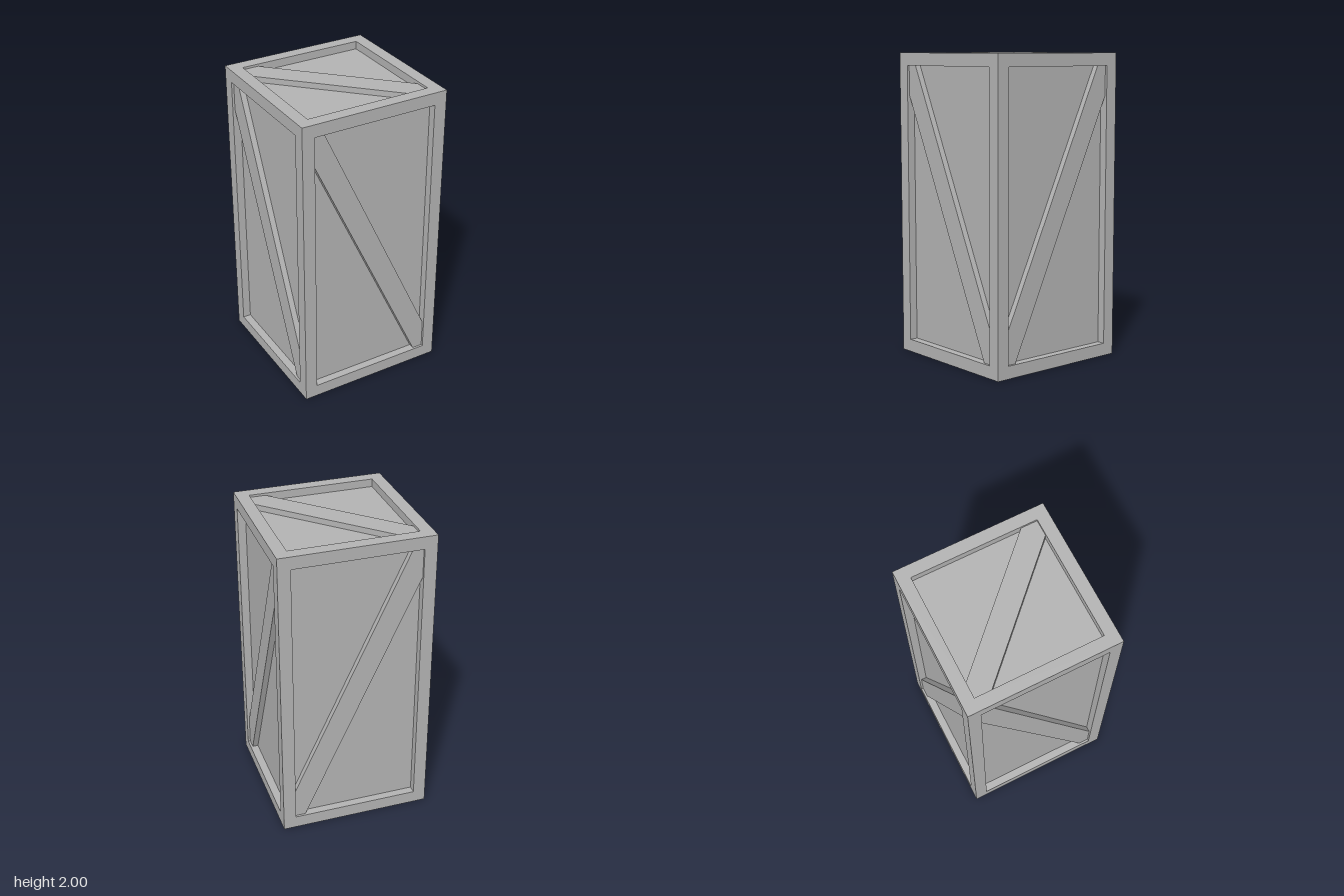
import * as THREE from 'three';

const W = 1, H = 2;       // outer width and height
const BEAM = 0.083;       // square frame beam
const PANEL_INSET = 0.053;
const BRACE_INSET = 0.015;

export function createModel() {
  const crate = new THREE.Group();
  crate.name = 'crate';
  const grey = new THREE.MeshStandardMaterial({ color: 0xb2b2b2 });
  grey.name = 'grey';

  const box = (name, size, pos) => {
    const mesh = new THREE.Mesh(new THREE.BoxGeometry(...size), grey);
    mesh.name = name;
    mesh.position.set(...pos);
    crate.add(mesh);
  };

  // Recessed panels, as one inner core
  const core = W - 2 * PANEL_INSET;
  box('panels', [core, H - 2 * PANEL_INSET, core], [0, H / 2, 0]);

  // Frame: four posts and eight rails
  const edge = (W - BEAM) / 2, rail = W - 2 * BEAM;
  for (const a of [-1, 1]) {
    for (const b of [-1, 1]) {
      box('post', [BEAM, H, BEAM], [a * edge, H / 2, b * edge]);
      const y = H / 2 + b * (H - BEAM) / 2;
      box('railAcross', [rail, BEAM, BEAM], [0, y, a * edge]);
      box('railDeep', [BEAM, BEAM, rail], [a * edge, y, 0]);
    }
  }

  // Diagonal braces on opposite faces, with ends that fill the frame corners
  const bracePair = (name, h, a, b, half) => {
    const w = W / 2 - BEAM;
    const outline = [[-w, h], [-w, b], [a, -h], [w, -h], [w, -b], [-a, h]];
    const shape = new THREE.Shape(outline.map(([x, y]) => new THREE.Vector2(x, y)));
    const depth = PANEL_INSET - BRACE_INSET + 0.01;
    const geometry = new THREE.ExtrudeGeometry(shape, { depth, bevelEnabled: false });
    const pair = new THREE.Group();
    pair.name = name;
    for (const z of [half - BRACE_INSET - depth, BRACE_INSET - half]) {
      const brace = new THREE.Mesh(geometry, grey);
      brace.name = 'brace';
      brace.position.z = z;
      pair.add(brace);
    }
    pair.position.y = H / 2;
    crate.add(pair);
    return pair;
  };
  const tall = H / 2 - BEAM, flat = W / 2 - BEAM;
  bracePair('frontBackBraces', tall, 0.347, 0.723, W / 2);
  bracePair('sideBraces', tall, 0.347, 0.723, W / 2).rotation.y = -Math.PI / 2;
  bracePair('topBottomBraces', flat, 0.308, 0.308, H / 2).rotation.x = -Math.PI / 2;

  return crate;
}
